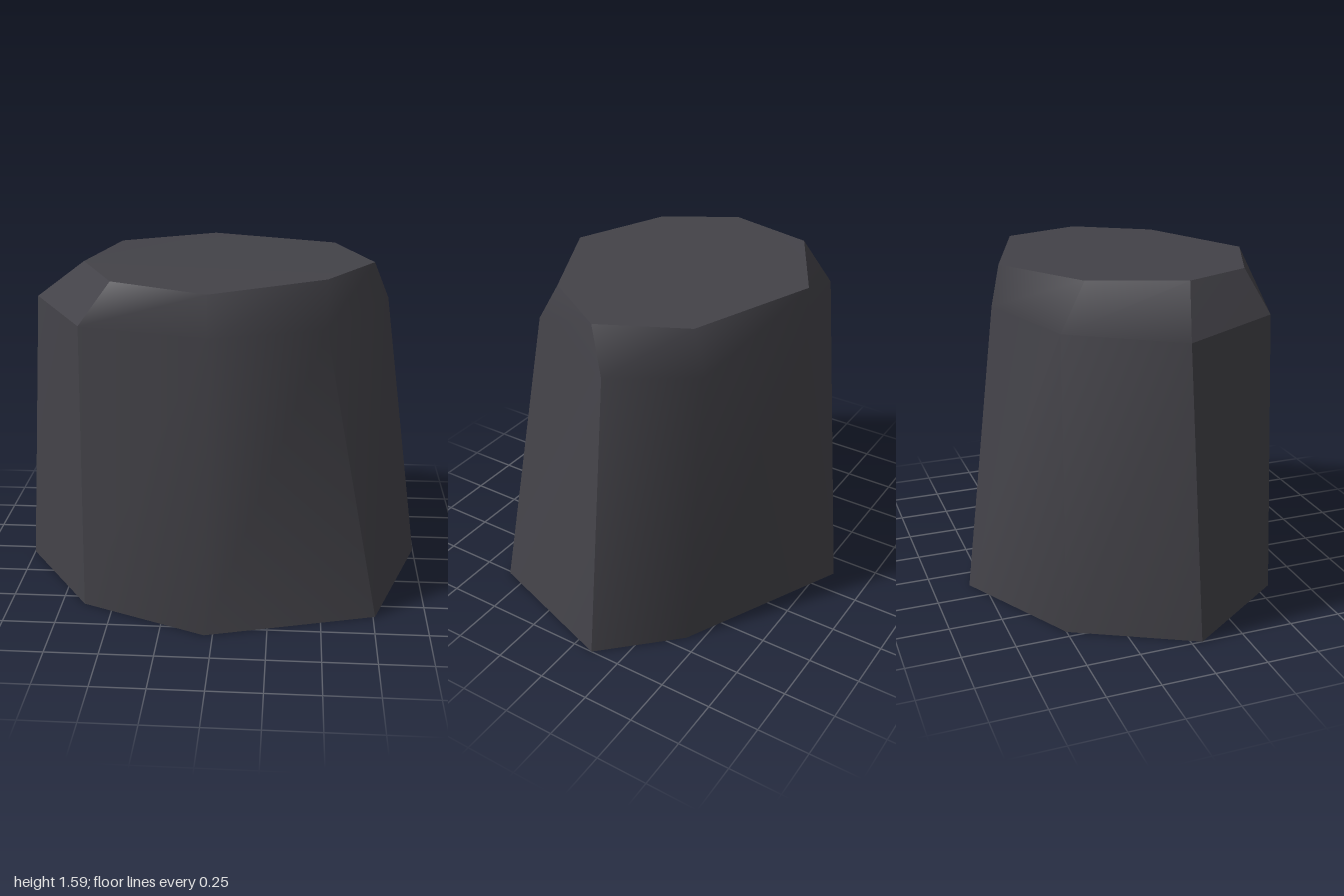
import * as THREE from 'three';

// Corner rings [x, y, z], running from the right side round the front to the left and back
const base = [[-1, .05], [-.64, .57], [-.04, .815], [.76, .6], [1, -.1], [.68, -.43], [-.13, -.82], [-.71, -.5]]
  .map(([x, z]) => [x, 0, z]);
const shoulder = [[-.915, 0], [-.62, .52], [-.03, .67], [.49, .5], [.8, -.08], [.56, -.45], [-.04, -.63], [-.6, -.47]]
  .map(([x, z]) => [x, 1.385, z]);
const crown = [[-.66, 1.585, .1], [-.48, 1.575, .45], [-.03, 1.572, .645], [.49, 1.582, .38],
  [.72, 1.582, .02], [.54, 1.59, -.38], [-.08, 1.588, -.6], [-.54, 1.594, -.34]];

const geometry = (points, index) => {
  const g = new THREE.BufferGeometry();
  g.setAttribute('position', new THREE.Float32BufferAttribute(points.flat(), 3));
  g.setIndex(index);
  g.computeVertexNormals();
  return g;
};

// Smooth wall between two or more rings, over sides from..to; a corner in split is creased at its foot
function wall(rings, from, to, split = -1) {
  const n = to - from + 1, points = [], index = [];
  for (const ring of rings) for (let i = from; i <= to; i++) points.push(ring[i % 8]);
  for (let r = 0; r < rings.length - 1; r++) {
    for (let i = 0; i < n - 1; i++) {
      let a = r * n + i;
      const b = a + 1, c = b + n, d = a + n;
      if (r === 0 && from + i === split) {
        points.push(points[a]);
        a = points.length - 1;
      }
      index.push(a, b, c, a, c, d);
    }
  }
  return geometry(points, index);
}

// Flat polygon closing a ring
function cap(ring, up) {
  const index = [];
  for (let i = 1; i < 7; i++) index.push(0, up ? i : i + 1, up ? i + 1 : i);
  return geometry(ring, index);
}

export function createModel() {
  const rock = new THREE.Group();
  rock.name = 'rock';
  const stone = new THREE.MeshStandardMaterial({ color: 0x434248 });
  stone.name = 'dark stone';
  const add = (name, g) => {
    const mesh = new THREE.Mesh(g, stone);
    mesh.name = name;
    rock.add(mesh);
  };

  // Sharp facet with its own chamfer
  add('cornerFacet', wall([base, shoulder], 0, 1));
  add('cornerChamfer', wall([shoulder, crown], 0, 1));
  // Softly rounded walls
  add('frontWall', wall([base, shoulder, crown], 1, 4, 3));
  add('backWall', wall([base, shoulder, crown], 4, 8));
  // Flat ends
  add('topFace', cap(crown, true));
  add('bottomFace', cap(base, false));
  return rock;
}
